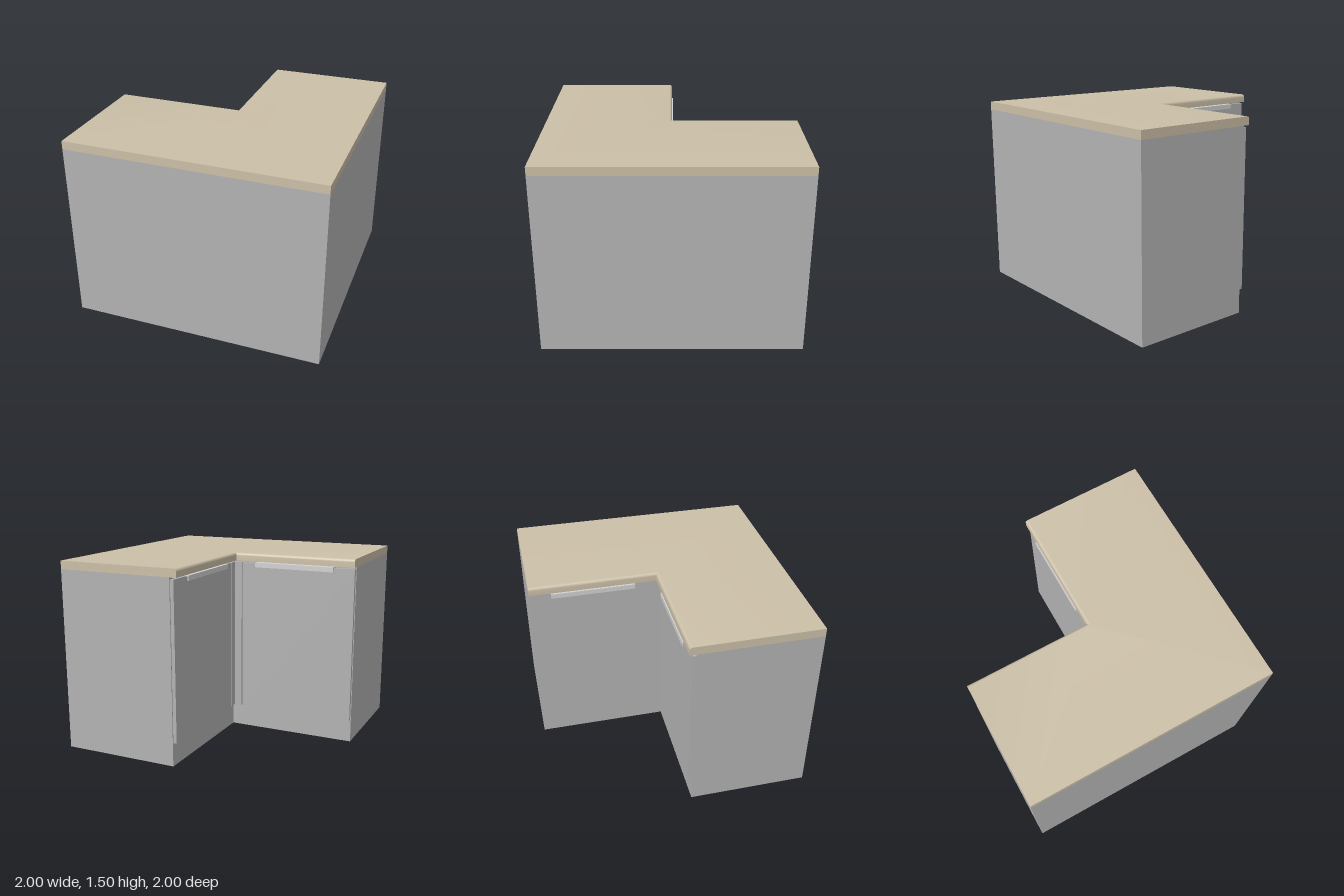
import * as THREE from 'three';
import { toCreasedNormals } from 'three/addons/utils/BufferGeometryUtils.js';

const material = (name, color) => new THREE.MeshStandardMaterial({ name, color });

// Solid with an L-shaped plan; each section is [height, inset of the two inner faces].
function cornerSolid(sections) {
  const points = [];
  for (const [y, i] of sections) {
    points.push(-1, y, 1, 1, y, 1, 1, y, -1, i, y, -1, i, y, i, -1, y, i);
  }
  const index = [];
  for (let s = 0; s < sections.length - 1; s++) {
    for (let k = 0; k < 6; k++) {
      const a = s * 6 + k, b = s * 6 + (k + 1) % 6;
      index.push(a, b, b + 6, a, b + 6, a + 6);
    }
  }
  // Caps fan out from the inner corner.
  const top = (sections.length - 1) * 6;
  for (const [p, q] of [[5, 0], [0, 1], [1, 2], [2, 3]]) {
    index.push(4, q, p, top + 4, top + p, top + q);
  }
  const geometry = new THREE.BufferGeometry();
  geometry.setAttribute('position', new THREE.Float32BufferAttribute(points, 3));
  geometry.setIndex(index);
  return toCreasedNormals(geometry, 0.5);
}

export function createModel() {
  const model = new THREE.Group();
  model.name = 'cornerCabinet';
  const grey = material('cabinetGrey', 0xb3b3b3);
  const beige = material('worktopBeige', 0xcbbfa7);
  const metal = material('handleMetal', 0xd2d2d2);

  const add = (name, geometry, mat, parent = model) => {
    const mesh = new THREE.Mesh(geometry, mat);
    mesh.name = name;
    parent.add(mesh);
    return mesh;
  };

  // Carcass and plinth in one L-shaped block
  add('carcass', cornerSolid([[0, 0.055], [1.435, 0.055]]), grey);

  // Worktop with rounded inner edges
  const r = 0.022, steps = 6, profile = [[1.435, 0]];
  for (let k = 0; k <= steps; k++) {
    const t = (k / steps) * Math.PI / 2;
    profile.push([1.5 - r + r * Math.sin(t), r - r * Math.cos(t)]);
  }
  add('worktop', cornerSolid(profile), beige);

  // Each inner face has a door, a corner strip and a handle; the second swaps x and z.
  for (const swap of [false, true]) {
    const front = new THREE.Group();
    front.name = swap ? 'leftFront' : 'rightFront';
    model.add(front);
    const box = (name, mat, [x0, x1], [y0, y1], [z0, z1]) => {
      const w = x1 - x0, h = y1 - y0, d = z1 - z0;
      const mesh = add(name, new THREE.BoxGeometry(swap ? d : w, h, swap ? w : d), mat, front);
      const x = (x0 + x1) / 2, z = (z0 + z1) / 2;
      mesh.position.set(swap ? z : x, (y0 + y1) / 2, swap ? x : z);
    };
    box('door', grey, [-0.995, -0.045], [0.185, 1.42], [0.025, 0.053]);
    box('cornerStrip', grey, [-0.037, 0.055], [0.185, 1.42], [0.025, 0.055]);
    box('handleTop', metal, [-0.83, -0.17], [1.42, 1.428], [-0.005, 0.053]);
    box('handleLip', metal, [-0.83, -0.17], [1.39, 1.428], [-0.006, 0.001]);
  }
  return model;
}
